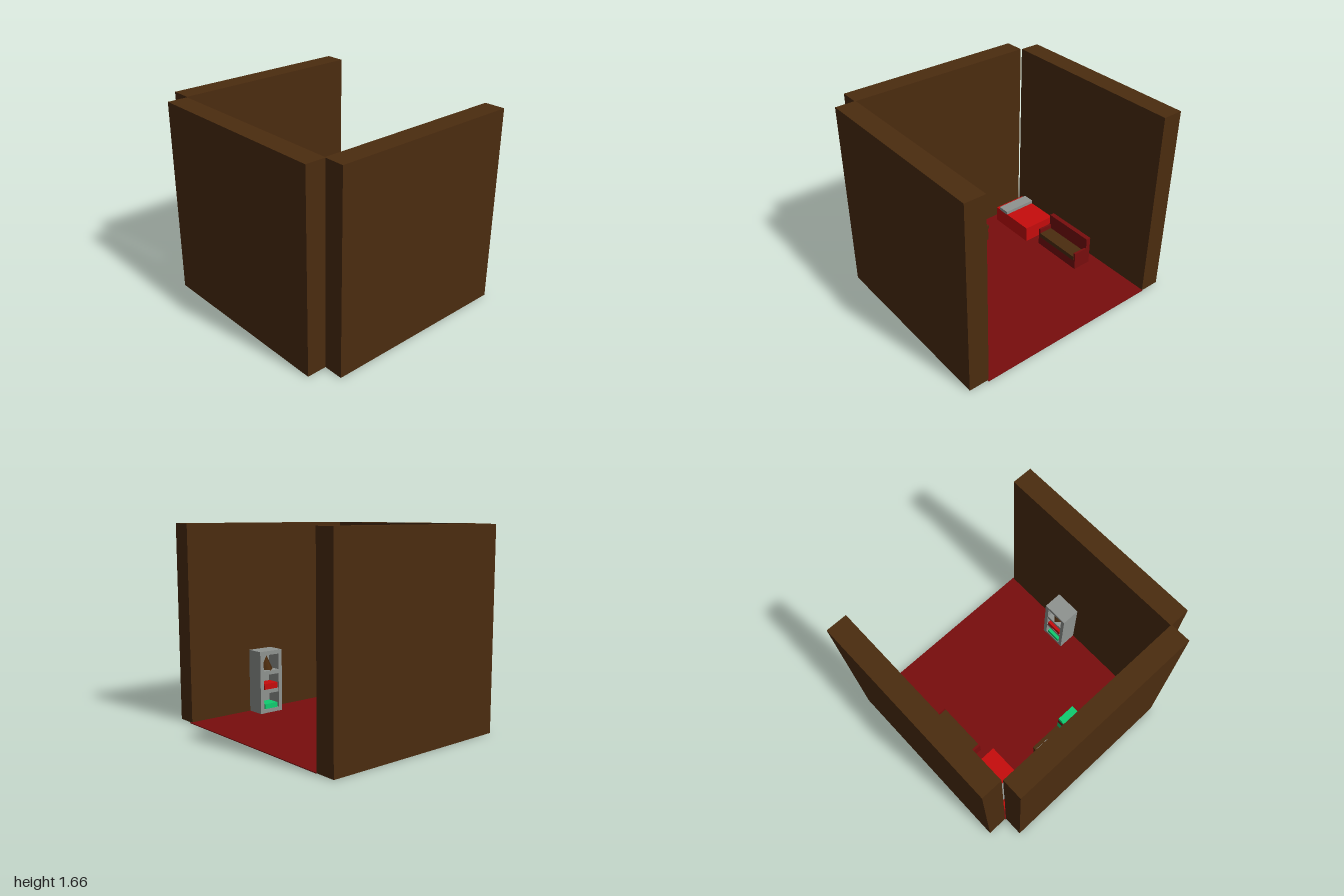
import * as THREE from 'three';

const mat = (name, color) => {
  const m = new THREE.MeshStandardMaterial({ color });
  m.name = name;
  return m;
};

export function createModel() {
  const wood = mat('dark wood', 0x4b2c0f);
  const maroon = mat('maroon', 0x780d0d);
  const red = mat('bright red', 0xc60c0c);
  const green = mat('green', 0x0fcc70);
  const gray = mat('gray', 0x8f9390);

  const room = new THREE.Group();
  room.name = 'room';

  const group = (name) => {
    const g = new THREE.Group();
    g.name = name;
    room.add(g);
    return g;
  };
  // Box given by its limits on each axis
  const box = (parent, name, material, [x0, x1], [y0, y1], [z0, z1]) => {
    const mesh = new THREE.Mesh(new THREE.BoxGeometry(x1 - x0, y1 - y0, z1 - z0), material);
    mesh.position.set((x0 + x1) / 2, (y0 + y1) / 2, (z0 + z1) / 2);
    mesh.name = name;
    parent.add(mesh);
    return mesh;
  };

  // Shell, open at the back and the top
  box(room, 'floor', maroon, [-0.824, 0.835], [0, 0.006], [-0.917, 0.746]);
  box(room, 'rightWall', wood, [-1, -0.824], [0.001, 1.66], [-0.912, 0.74]);
  box(room, 'leftWall', wood, [0.825, 1], [0.001, 1.66], [-0.902, 0.75]);
  box(room, 'frontWall', wood, [-0.815, 0.834], [0.001, 1.66], [0.745, 0.917]);

  // Bookshelf against the left wall, open towards the middle of the room
  const shelf = group('bookshelf');
  const sx = [0.66, 0.825], sz = [-0.315, -0.085];
  box(shelf, 'shelfBack', gray, [0.805, 0.825], [0.006, 0.555], sz);
  box(shelf, 'shelfSide', gray, sx, [0.006, 0.555], [-0.315, -0.28]);
  box(shelf, 'shelfSide', gray, sx, [0.006, 0.555], [-0.12, -0.085]);
  for (const y of [0.006, 0.18, 0.345, 0.52]) {
    box(shelf, 'shelfBoard', gray, [0.662, 0.82], [y, y + 0.035], [-0.285, -0.115]);
  }
  box(shelf, 'greenBook', green, [0.665, 0.78], [0.041, 0.085], [-0.265, -0.135]);
  box(shelf, 'redBook', red, [0.663, 0.78], [0.215, 0.265], [-0.27, -0.13]);
  const ornament = new THREE.Mesh(new THREE.ConeGeometry(0.065, 0.125, 4), wood);
  ornament.name = 'ornament';
  ornament.position.set(0.73, 0.443, -0.2);
  shelf.add(ornament);

  // Table near the front wall
  const table = group('table');
  box(table, 'tableTop', wood, [-0.235, 0.25], [0.135, 0.165], [0.47, 0.645]);
  for (const x of [-0.23, 0.185]) {
    for (const z of [0.475, 0.58]) {
      box(table, 'tableLeg', wood, [x, x + 0.06], [0.003, 0.135], [z, z + 0.06]);
    }
  }

  // Books stacked on the table
  const books = group('bookStack');
  box(books, 'book', green, [0.06, 0.255], [0.165, 0.213], [0.472, 0.6]);
  box(books, 'book', green, [0.06, 0.245], [0.216, 0.272], [0.472, 0.6]);
  box(books, 'book', maroon, [0.06, 0.262], [0.272, 0.335], [0.474, 0.605]);
  box(books, 'book', green, [0.062, 0.226], [0.335, 0.377], [0.474, 0.602]);

  // Desk lamp
  const lamp = group('lamp');
  box(lamp, 'lampBase', gray, [-0.225, -0.152], [0.165, 0.185], [0.505, 0.575]);
  box(lamp, 'lampPost', gray, [-0.198, -0.182], [0.185, 0.28], [0.532, 0.548]);
  box(lamp, 'lampArm', gray, [-0.198, -0.12], [0.28, 0.295], [0.532, 0.548]);
  box(lamp, 'lampHead', gray, [-0.155, -0.112], [0.25, 0.28], [0.52, 0.56]);

  // Sofa along the right wall
  const sofa = group('sofa');
  box(sofa, 'sofaBase', maroon, [-0.735, -0.562], [0.006, 0.09], [-0.345, 0.14]);
  box(sofa, 'sofaBack', maroon, [-0.735, -0.692], [0.09, 0.27], [-0.345, 0.14]);
  box(sofa, 'sofaSeat', wood, [-0.692, -0.56], [0.09, 0.13], [-0.325, 0.12]);
  for (const z of [-0.345, 0.12]) {
    box(sofa, 'sofaArm', maroon, [-0.692, -0.562], [0.09, 0.17], [z, z + 0.02]);
  }

  // Bed in the front right corner
  const bed = group('bed');
  box(bed, 'mattress', red, [-0.8, -0.492], [0.006, 0.15], [0.235, 0.675]);
  box(bed, 'pillow', gray, [-0.803, -0.489], [0.15, 0.18], [0.522, 0.63]);

  return room;
}
